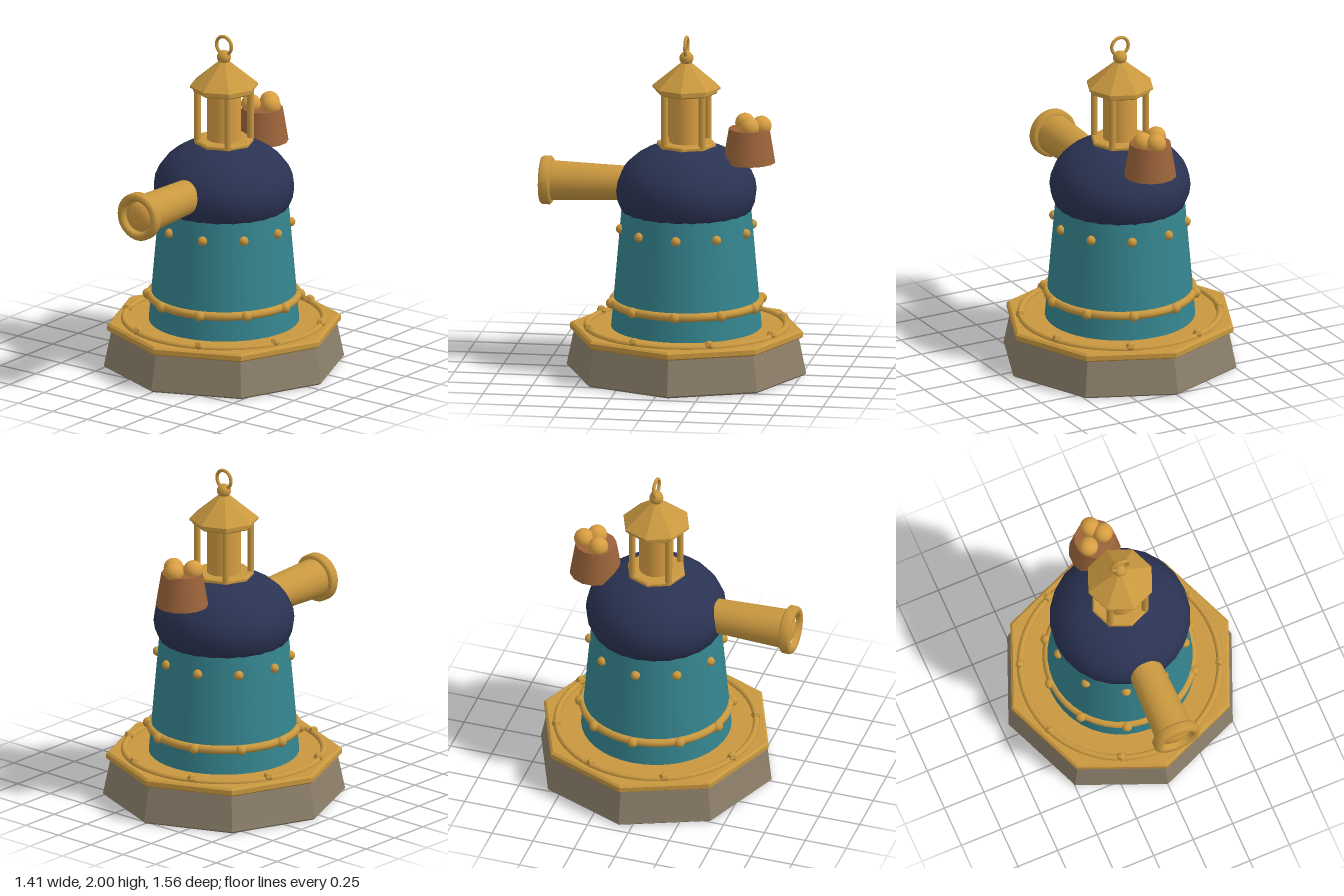
import * as THREE from 'three';

const mat = (name, color) => new THREE.MeshStandardMaterial({ name, color });

export function createModel() {
  const model = new THREE.Group();
  model.name = 'lighthouseTower';
  const gold = mat('gold', 0xc9983f);
  const amber = mat('amber', 0xd89e42);
  const teal = mat('teal', 0x35858f);
  const navy = mat('navy', 0x2b3353);
  const stone = mat('stone', 0x8c7f6a);
  const clay = mat('clay', 0x9c643a);

  // Everything except the pot shares the tower axis
  const tower = new THREE.Group();
  tower.name = 'tower';
  tower.position.z = -0.075;
  model.add(tower);

  const add = (name, geometry, material, x = 0, y = 0, z = 0, parent = tower) => {
    const mesh = new THREE.Mesh(geometry, material);
    mesh.name = name;
    mesh.position.set(x, y, z);
    parent.add(mesh);
    return mesh;
  };
  // Gives a geometry hard facets
  const faceted = (geometry) => {
    const g = geometry.toNonIndexed();
    g.computeVertexNormals();
    return g;
  };
  // Octagonal solid from [radius, y] pairs, bottom to top
  const octagon = (profile) =>
    faceted(new THREE.LatheGeometry(profile.map(([r, y]) => new THREE.Vector2(r, y)), 8));
  // Repeats a part evenly around the axis
  const around = (name, count, radius, y, start, geometry, material) => {
    for (let i = 0; i < count; i++) {
      const a = start + (i * Math.PI * 2) / count;
      add(name, geometry, material, Math.cos(a) * radius, y, Math.sin(a) * radius);
    }
  };
  const ring = (name, radius, tube, y) => {
    const mesh = add(name, new THREE.TorusGeometry(radius, tube, 10, 64), gold, 0, y);
    mesh.rotation.x = Math.PI / 2;
    return mesh;
  };

  // Octagonal plinth and its gold deck
  add('plinth', octagon([[0, 0], [0.69, 0], [0.705, 0.012], [0.701, 0.03], [0.66, 0.23], [0, 0.23]]), stone);
  add('deck', octagon([[0, 0.22], [0.672, 0.22], [0.686, 0.23], [0.686, 0.258], [0.672, 0.27], [0, 0.27]]), gold);
  ring('deckRing', 0.58, 0.019, 0.273);
  around('deckRivet', 8, 0.58, 0.287, Math.PI / 8, faceted(new THREE.SphereGeometry(0.03, 5, 4)), gold);

  // Tapered body with studs
  add('body', new THREE.CylinderGeometry(0.375, 0.438, 0.73, 40), teal, 0, 0.625);
  ring('bodyBand', 0.426, 0.025, 0.42);
  around('bandStud', 10, 0.442, 0.42, 0, new THREE.SphereGeometry(0.031, 14, 10), gold);
  around('upperStud', 10, 0.387, 0.862, 0, new THREE.SphereGeometry(0.028, 14, 10), gold);

  // Flattened dome
  add('dome', new THREE.SphereGeometry(0.41, 24, 16), navy, 0, 1.08).scale.y = 0.71;

  // Telescope pointing forward, built along its own axis
  const scope = new THREE.Group();
  scope.name = 'telescope';
  scope.position.set(0, 1.108, 0);
  tower.add(scope);
  const barrel = add('barrel', new THREE.CylinderGeometry(0.116, 0.092, 0.68, 32), gold, 0, 0, 0.47, scope);
  barrel.rotation.x = Math.PI / 2;
  add('muzzleRing', new THREE.LatheGeometry(
    [[0.11, -0.034], [0.13, -0.034], [0.142, -0.022], [0.142, 0.018], [0.132, 0.031],
      [0.112, 0.033], [0.098, 0.024], [0.092, 0]].map(([r, y]) => new THREE.Vector2(r, y)), 36),
  gold, 0, 0, 0.822, scope).rotation.x = Math.PI / 2;
  add('lens', new THREE.SphereGeometry(0.085, 24, 14), amber, 0, 0, 0.805, scope).scale.z = 0.45;

  // Lantern room
  add('lanternFloor', octagon([[0, 1.34], [0.165, 1.34], [0.174, 1.348], [0.174, 1.362], [0.165, 1.37], [0, 1.37]]), gold);
  add('lanternCore', new THREE.CylinderGeometry(0.1, 0.1, 0.32, 28), amber, 0, 1.52);
  around('lanternPost', 4, 0.156, 1.52, Math.PI / 4, new THREE.CylinderGeometry(0.02, 0.02, 0.32, 12), gold);
  add('lanternCornice', octagon([[0, 1.662], [0.175, 1.662], [0.183, 1.67], [0.183, 1.692], [0, 1.692]]), gold);
  add('lanternRoof', octagon([[0, 1.688], [0.2, 1.688], [0.2, 1.7], [0.03, 1.842], [0, 1.842]]), gold);

  // Finial and hanging loop
  add('finialBall', new THREE.SphereGeometry(0.041, 18, 12), gold, 0, 1.867);
  add('hangingLoop', new THREE.TorusGeometry(0.054, 0.01, 10, 36), gold, 0, 1.936);

  // Clay pot on the back of the dome, heaped with balls
  const pot = new THREE.Group();
  pot.name = 'pot';
  pot.position.set(0, 0, -0.445);
  model.add(pot);
  add('potBody', new THREE.CylinderGeometry(0.12, 0.153, 0.2, 14), clay, 0, 1.363, 0, pot);
  const ball = new THREE.SphereGeometry(0.058, 20, 14);
  for (const [x, z] of [[0, -0.072], [0.056, -0.01], [-0.056, 0.034]]) {
    add('potBall', ball, amber, x, 1.481, z, pot);
  }
  return model;
}
